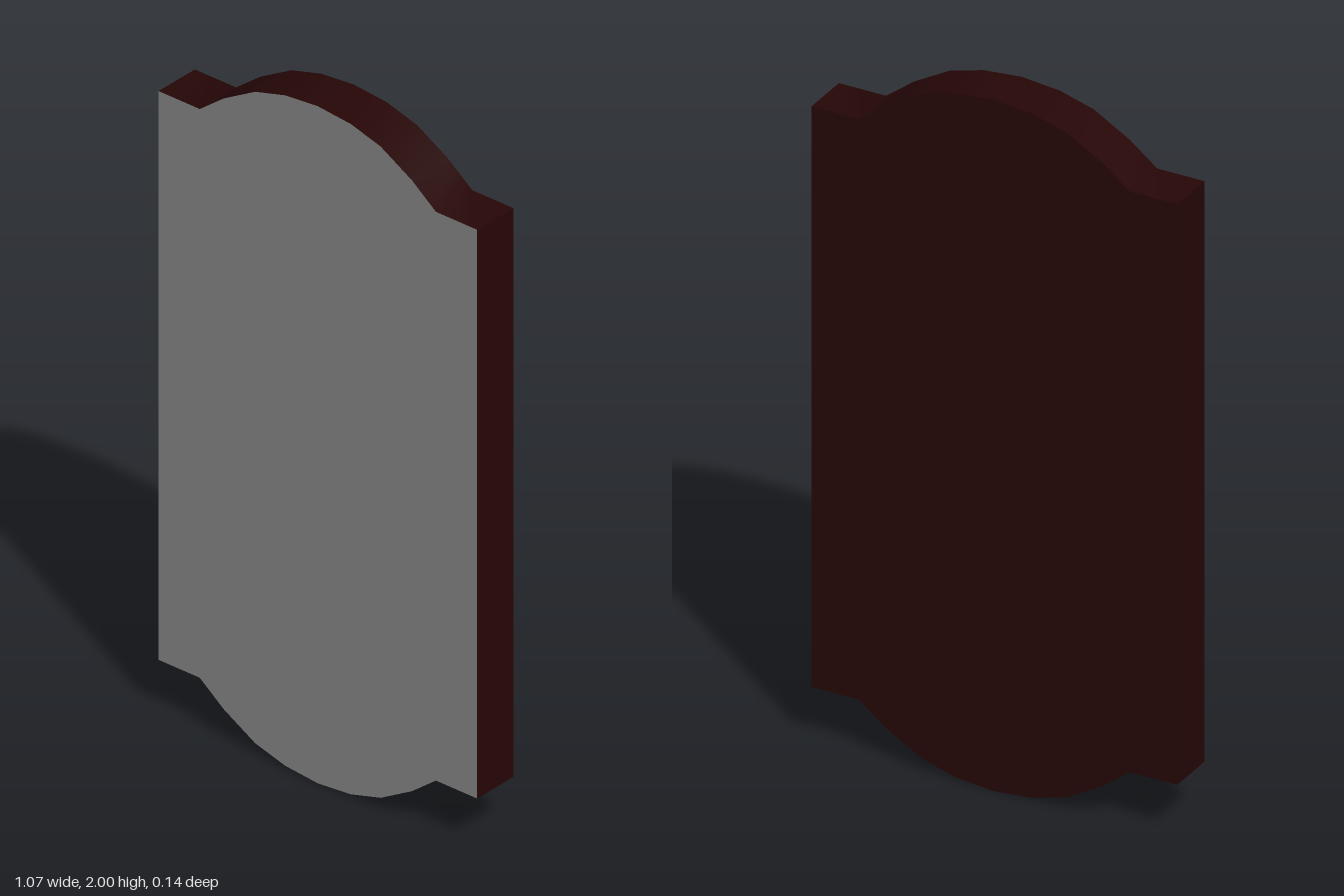
import * as THREE from 'three';
import { toCreasedNormals } from 'three/addons/utils/BufferGeometryUtils.js';

const HALF_W = 0.533, DEPTH = 0.142, RISE = 0.16;

// Half of the faceted arch, from its foot to its crown, as [x, rise]
const HALF_ARCH = [[0.395, 0], [0.315, 0.062], [0.21, 0.122], [0.11, 0.15], [0, RISE]];

// Rectangular board outline with an arched top and a mirrored arched bottom
function boardOutline() {
  const low = RISE, high = 2 - RISE;
  const mirrored = HALF_ARCH.slice(0, -1).reverse().map(([x, r]) => [-x, r]);
  const arch = [...HALF_ARCH, ...mirrored];
  return new THREE.Shape([
    [HALF_W, low], [HALF_W, high],
    ...arch.map(([x, r]) => [x, high + r]),
    [-HALF_W, high], [-HALF_W, low],
    ...arch.map(([x, r]) => [-x, low - r]),
  ].map(([x, y]) => new THREE.Vector2(x, y)));
}

export function createModel() {
  const group = new THREE.Group();
  group.name = 'signBoard';

  const wood = new THREE.MeshStandardMaterial({ color: 0x260606 });
  const face = new THREE.MeshStandardMaterial({ color: 0x878787 });

  const extruded = new THREE.ExtrudeGeometry(boardOutline(), { depth: DEPTH, bevelEnabled: false });
  extruded.translate(0, 0, -DEPTH / 2);
  const lids = extruded.groups[0].count;
  // The rim is smooth over the arches and sharp at the corners
  const geometry = toCreasedNormals(extruded, 0.8);

  // Wooden back and rim, grey front face
  const total = geometry.attributes.position.count;
  geometry.clearGroups();
  geometry.addGroup(0, lids / 2, 0);
  geometry.addGroup(lids / 2, lids / 2, 1);
  geometry.addGroup(lids, total - lids, 0);

  const board = new THREE.Mesh(geometry, [wood, face]);
  board.name = 'board';
  group.add(board);
  return group;
}
